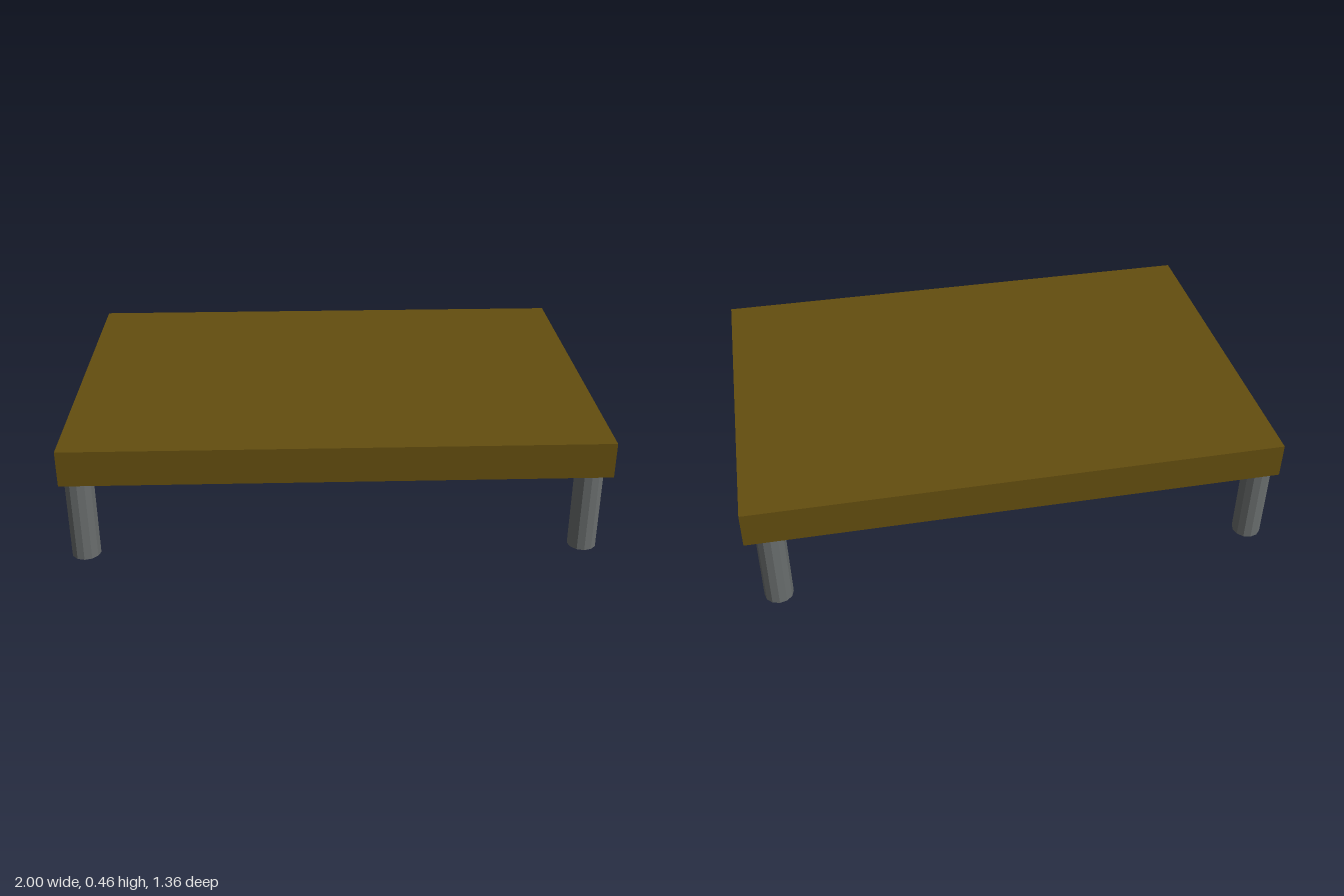
import * as THREE from 'three';

export function createModel() {
  const model = new THREE.Group();
  model.name = 'lowTable';

  const wood = new THREE.MeshStandardMaterial({ color: 0x644e0f });
  wood.name = 'dark wood';
  const metal = new THREE.MeshStandardMaterial({ color: 0x696d6d });
  metal.name = 'grey metal';
  metal.flatShading = true;

  // Thick slab top
  const bottom = 0.32, top = 0.457;
  const slab = new THREE.Mesh(new THREE.BoxGeometry(2, top - bottom, 1.364), wood);
  slab.name = 'tableTop';
  slab.position.y = (bottom + top) / 2;
  model.add(slab);

  // Four round legs, placed slightly unevenly near the corners
  const legGeometry = new THREE.CylinderGeometry(0.054, 0.054, bottom, 12);
  const legs = [
    ['frontLeftLeg', 0.927, 0.612],
    ['frontRightLeg', -0.938, 0.616],
    ['backLeftLeg', 0.907, -0.618],
    ['backRightLeg', -0.938, -0.618],
  ];
  for (const [name, x, z] of legs) {
    const leg = new THREE.Mesh(legGeometry, metal);
    leg.name = name;
    leg.position.set(x, bottom / 2, z);
    model.add(leg);
  }

  return model;
}
